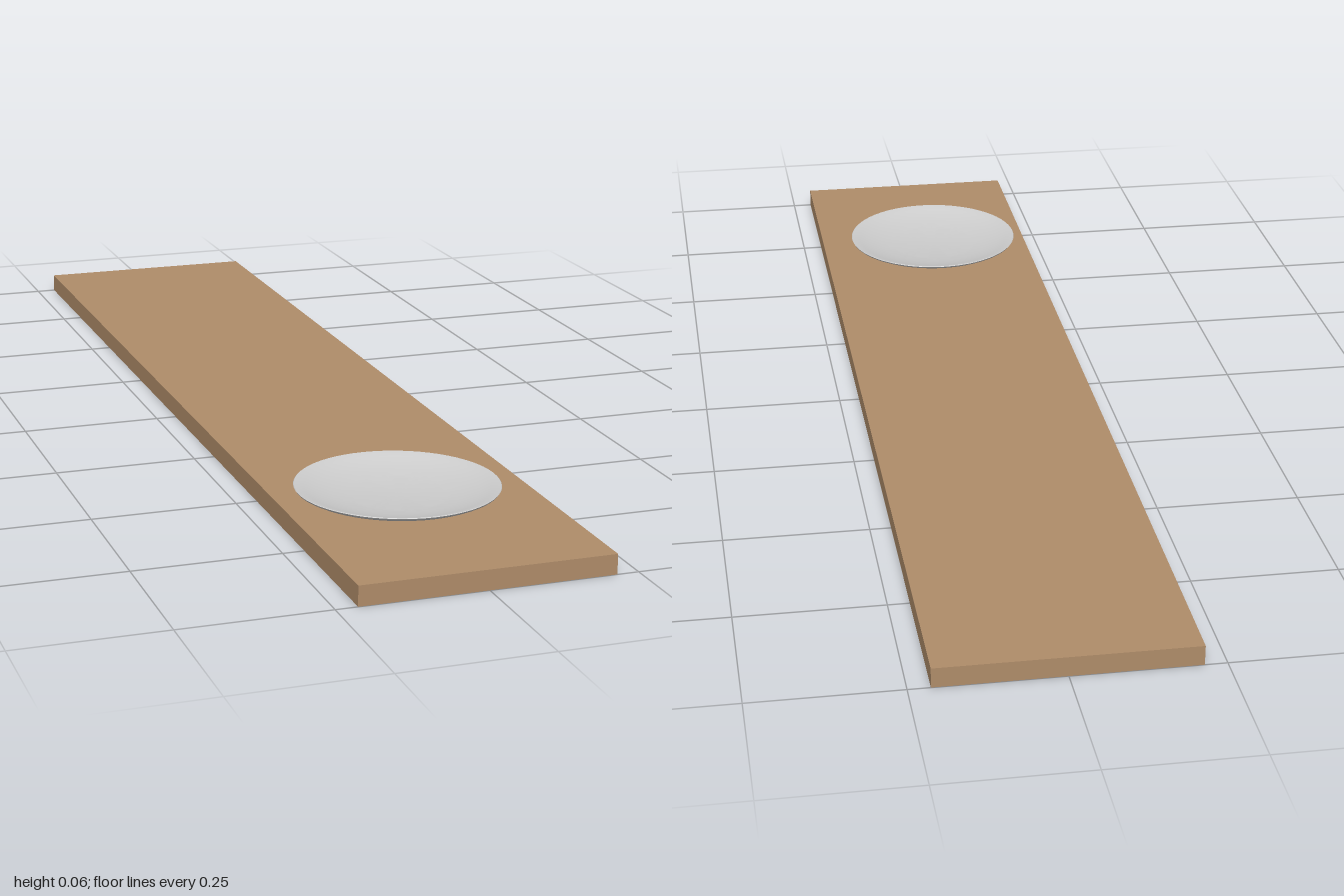
import * as THREE from 'three';
import { toCreasedNormals } from 'three/addons/utils/BufferGeometryUtils.js';

export function createModel() {
  const model = new THREE.Group();
  model.name = 'boardWithPlate';

  const wood = new THREE.MeshStandardMaterial({ color: 0xb08d6a });
  wood.name = 'wood';
  const china = new THREE.MeshStandardMaterial({ color: 0xcdcdcd });
  china.name = 'china';

  // Long flat board
  const thickness = 0.034;
  const board = new THREE.Mesh(new THREE.BoxGeometry(0.427, thickness, 2), wood);
  board.name = 'board';
  board.position.y = thickness / 2;
  model.add(board);

  // Shallow plate: underside from the foot to the rim, then back over the top to the well
  const profile = [
    [0, 0.001], [0.088, 0.001], [0.091, 0.002], [0.1, 0.004], [0.118, 0.007],
    [0.145, 0.011], [0.162, 0.016], [0.17, 0.02], [0.172, 0.023], [0.171, 0.024],
    [0.168, 0.0235], [0.155, 0.0195], [0.135, 0.014], [0.11, 0.0095], [0.09, 0.007],
    [0.083, 0.006], [0, 0.006],
  ].map(([r, y]) => new THREE.Vector2(r, y));
  const plate = new THREE.Mesh(
    toCreasedNormals(new THREE.LatheGeometry(profile, 64), 0.6), china);
  plate.name = 'plate';
  plate.position.set(-0.016, thickness, 0.644);
  model.add(plate);

  return model;
}
